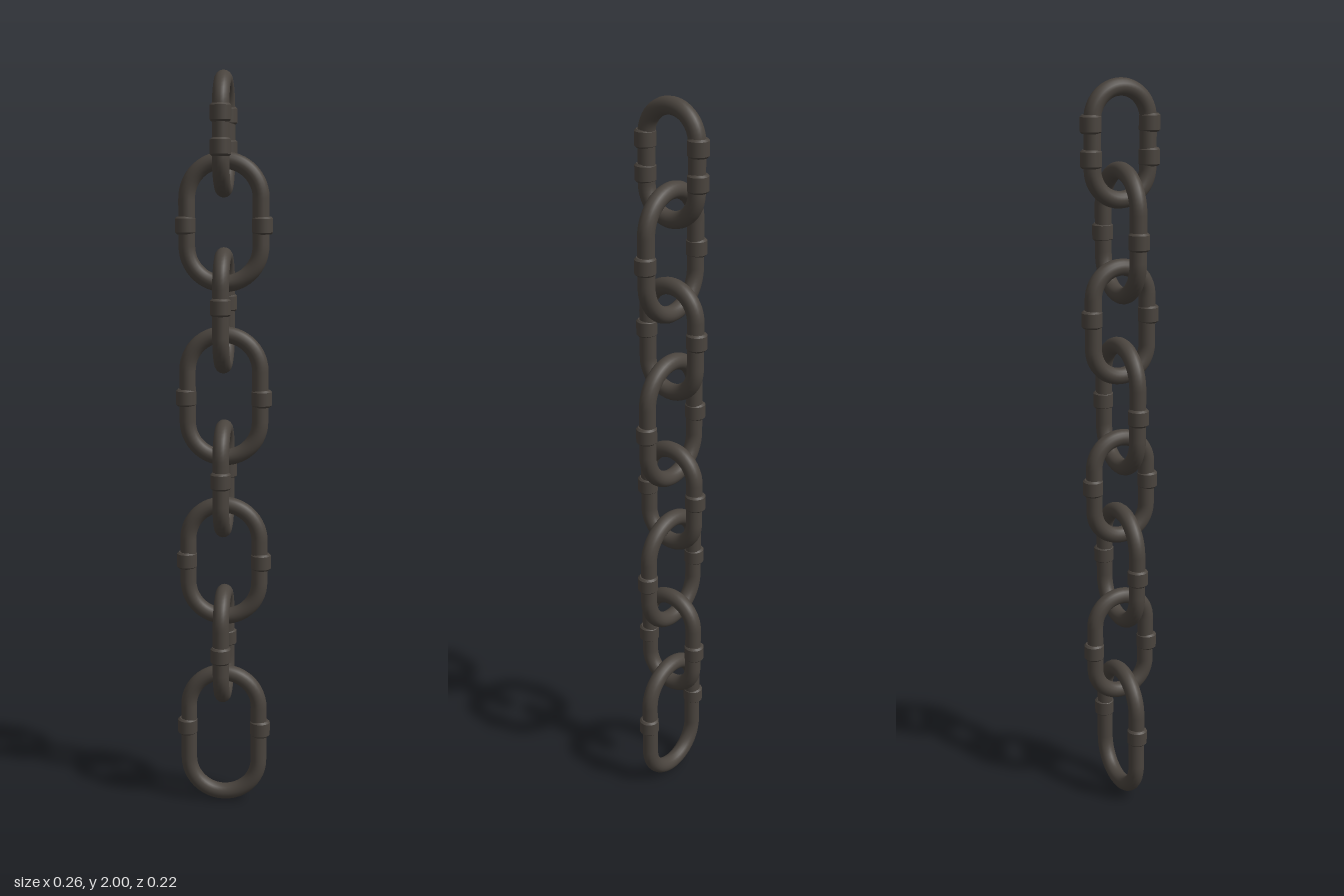
import * as THREE from 'three';

const TUBE = 0.0222;

// Closed oval centreline: two half circles joined by straight sides
class OvalCurve extends THREE.Curve {
  constructor(radius, halfHeight) {
    super();
    this.radius = radius;
    this.straight = halfHeight - radius;
  }
  getPoint(t, target = new THREE.Vector3()) {
    const r = this.radius, s = this.straight, arc = Math.PI * r;
    let d = (t % 1) * (2 * arc + 4 * s);
    if (d < arc) return target.set(r * Math.cos(d / r), s + r * Math.sin(d / r), 0);
    d -= arc;
    if (d < 2 * s) return target.set(-r, s - d, 0);
    d -= 2 * s;
    if (d < arc) return target.set(-r * Math.cos(d / r), -s - r * Math.sin(d / r), 0);
    d -= arc;
    return target.set(r, -s + d, 0);
  }
}

// Short sleeve with bevelled rims
function collarGeometry() {
  const r = 0.0275, h = 0.023, b = 0.005;
  const profile = [[0.018, -h], [r - b, -h], [r - b, -h], [r, -h + b], [r, -h + b],
    [r, h - b], [r, h - b], [r - b, h], [r - b, h], [0.018, h]];
  return new THREE.LatheGeometry(profile.map(([x, y]) => new THREE.Vector2(x, y)), 20);
}

export function createModel() {
  const model = new THREE.Group();
  model.name = 'chain';
  const iron = new THREE.MeshStandardMaterial({ color: 0x4a443e });
  iron.name = 'dark iron';
  const collarGeo = collarGeometry();

  // Each link: bottom, top, collar heights, turned a quarter or not
  const links = [
    [0.0, 0.397, [0.215], false],
    [0.294, 0.627, [0.453], true],
    [0.517, 0.877, [0.697], false],
    [0.766, 1.089, [0.937], true],
    [0.964, 1.341, [1.148], false],
    [1.215, 1.549, [1.397], true],
    [1.431, 1.795, [1.605], false],
    [1.677, 2.0, [1.804, 1.889], true],
  ];

  links.forEach(([bottom, top, collars, turned], i) => {
    const link = new THREE.Group();
    link.name = `link${i + 1}`;
    const centre = (bottom + top) / 2;
    const radius = turned ? 0.079 : 0.098;
    const path = new OvalCurve(radius, (top - bottom) / 2 - TUBE);
    const ring = new THREE.Mesh(new THREE.TubeGeometry(path, 72, TUBE, 16, true), iron);
    ring.name = 'ring';
    link.add(ring);

    // Collars on both straight sides
    for (const y of collars) {
      for (const side of [-1, 1]) {
        const collar = new THREE.Mesh(collarGeo, iron);
        collar.name = side > 0 ? 'leftCollar' : 'rightCollar';
        collar.position.set(side * (radius + 0.004), y - centre, 0);
        link.add(collar);
      }
    }
    link.position.y = centre;
    if (turned) link.rotation.y = Math.PI / 2;
    model.add(link);
  });
  return model;
}
